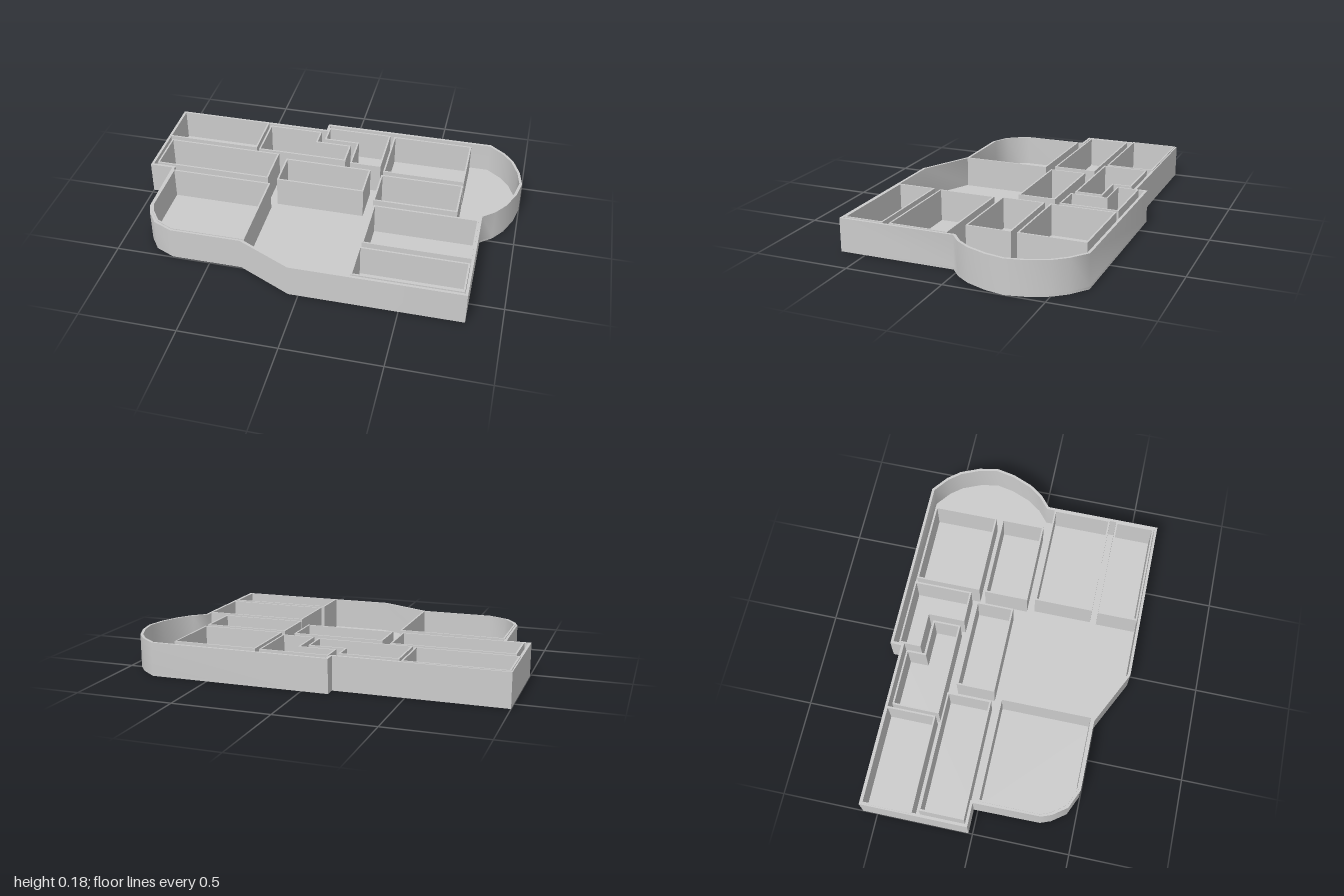
import * as THREE from 'three';
import { toCreasedNormals } from 'three/addons/utils/BufferGeometryUtils.js';

const BASE = 0.012, WALL_TOP = 0.174, ROOM_TOP = 0.178;
const material = new THREE.MeshStandardMaterial({ color: 0xcccccc });

// Counter-clockwise plan vectors from a clockwise [x, z] outline
const plan = (points) => points.map(([x, z]) => new THREE.Vector2(x, -z)).reverse();

// Shrinks an outline by a distance, with mitred corners
function inset(points, d) {
  const n = points.length;
  const normal = (a, b) => new THREE.Vector2(a[1] - b[1], b[0] - a[0]).normalize();
  return points.map((q, i) => {
    const n1 = normal(points[(i + n - 1) % n], q);
    const n2 = normal(q, points[(i + 1) % n]);
    const k = d / (1 + n1.dot(n2));
    return [q[0] + (n1.x + n2.x) * k, q[1] + (n1.y + n2.y) * k];
  });
}

// Extrudes an outline upward from y0 to y1, optionally with a hole
function slab(name, points, y0, y1, hole) {
  const shape = new THREE.Shape(plan(points));
  if (hole) shape.holes.push(new THREE.Path(plan(hole)));
  const geometry = new THREE.ExtrudeGeometry(shape, { depth: y1 - y0, bevelEnabled: false });
  geometry.rotateX(-Math.PI / 2).translate(0, y0, 0);
  const mesh = new THREE.Mesh(toCreasedNormals(geometry, 1), material);
  mesh.name = name;
  return mesh;
}

const rect = (x0, x1, z0, z1) => [[x0, z0], [x1, z0], [x1, z1], [x0, z1]];

export function createModel() {
  const group = new THREE.Group();
  group.name = 'floorPlanTray';

  // Building outline with a round bay on one side and a rounded front corner
  const outline = [
    [-1, -0.575], [-0.138, -0.575], [-0.138, -0.634], [0.8, -0.634],
    [0.885, -0.568], [0.937, -0.503], [0.98, -0.403], [1, -0.303],
    [0.98, -0.203], [0.937, -0.098], [0.885, -0.026], [0.824, 0.025],
    [0.824, 0.634], [-0.05, 0.634], [-0.333, 0.495], [-0.7, 0.495],
    [-0.8, 0.45], [-0.852, 0.378], [-0.872, 0.325], [-0.876, -0.021], [-1, -0.021],
  ];
  group.add(slab('floor', outline, 0, BASE));
  group.add(slab('outerWall', outline, BASE, WALL_TOP, inset(outline, 0.014)));

  // Thin-walled rooms, open at the top
  const rooms = {
    backRightRoom: rect(-0.993, -0.477, -0.567, -0.306),
    middleRightRoom: rect(-0.969, -0.339, -0.276, -0.044),
    middleRoom: rect(-0.288, 0.186, -0.24, -0.04),
    backLeftRoom: rect(0.255, 0.695, -0.586, -0.241),
    middleLeftRoom: rect(0.251, 0.695, -0.21, 0.022),
    sideRoom: rect(0.262, 0.811, 0.062, 0.372),
    frontLeftRoom: rect(0.256, 0.808, 0.406, 0.616),
    firstCornerRoom: [[-0.462, -0.54], [-0.158, -0.54], [-0.158, -0.442],
      [0.033, -0.442], [0.033, -0.294], [-0.462, -0.294]],
    secondCornerRoom: [[-0.125, -0.59], [0.233, -0.59], [0.233, -0.28],
      [0.062, -0.28], [0.062, -0.473], [-0.125, -0.473]],
    roundedRoom: [[-0.862, 0], [-0.313, 0], [-0.313, 0.484], [-0.695, 0.484],
      [-0.79, 0.44], [-0.842, 0.37], [-0.862, 0.32]],
  };
  for (const [name, points] of Object.entries(rooms)) {
    group.add(slab(name, points, BASE, ROOM_TOP, inset(points, 0.009)));
  }
  return group;
}
